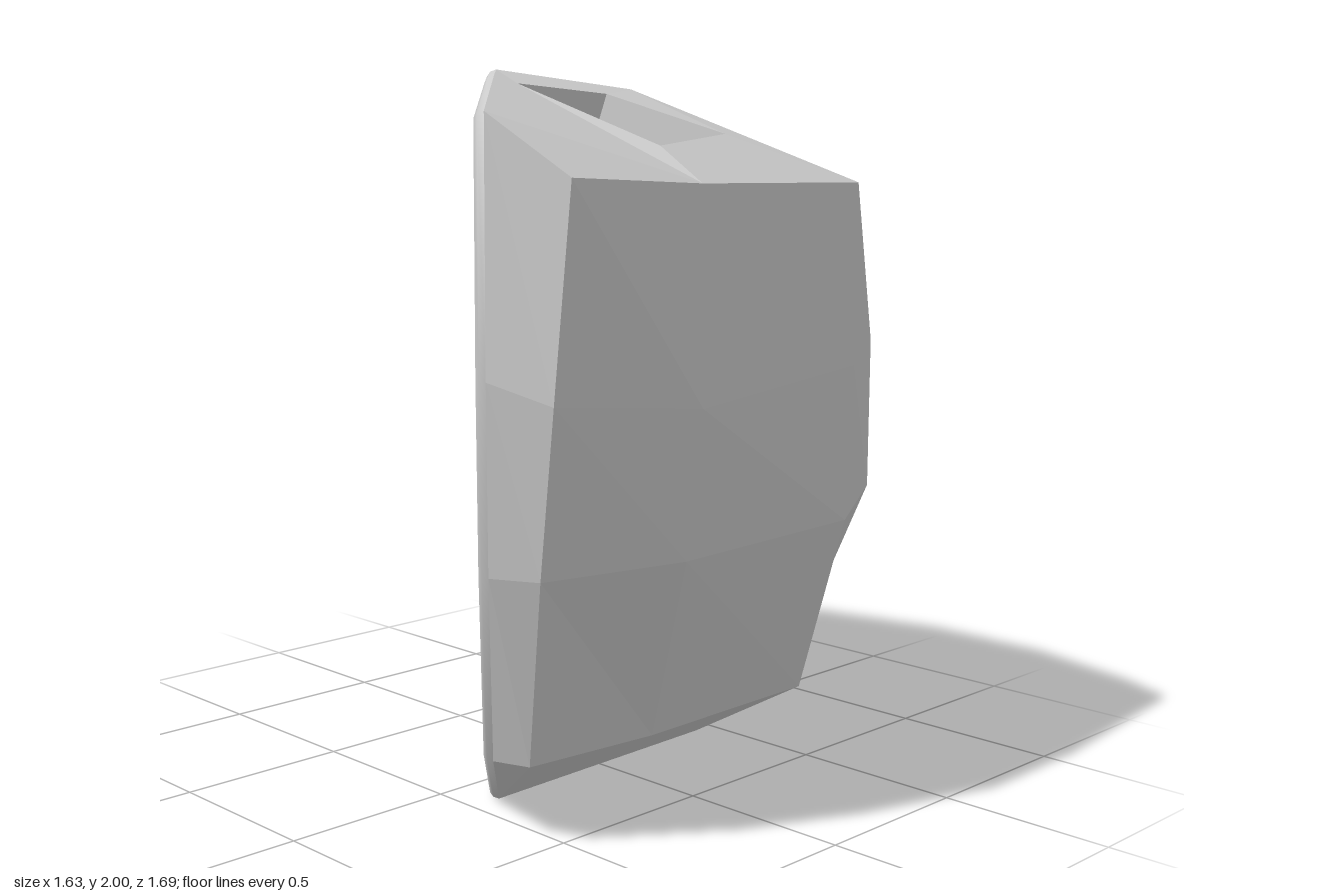
import * as THREE from 'three';

const V = (x, y, z) => new THREE.Vector3(x, y, z);
// the opening lies in one slanted plane
const planeZ = (x) => 0.27 + 0.964 * x;
const R = (x, y) => V(x, y, planeZ(x));
const openingNormal = V(-0.694, 0, 0.72);

// floor corners, and crown corners beside the opening
const floorRimL = R(-0.28, 0.01), floorRimR = R(0.14, 0.0);
const floorL = V(-0.28, 0.01, -0.41), floorR = V(0.14, 0.01, -0.41);
const crownL = V(-0.19, 1.96, -0.25), crownR = V(0, 1.96, -0.25);

// horizontal sections, each from the -x rim round the back to the +x rim
const rows = [
  [floorRimL, floorL, floorL, floorR, floorR, floorR, floorRimR, floorRimR, floorRimR],
  [R(-0.69, 0.24), V(-0.56, 0.35, -0.57), V(-0.28, 0.35, -0.64), V(0.14, 0.35, -0.64), V(0.42, 0.35, -0.57),
    V(0.54, 0.24, -0.41), V(0.53, 0.23, 0.2), V(0.49, 0.23, 0.61), R(0.39, 0.23)],
  [R(-0.82, 0.8), V(-0.73, 0.81, -0.66), V(-0.28, 0.81, -0.85), V(0.14, 0.81, -0.85), V(0.58, 0.81, -0.66),
    V(0.7, 0.76, -0.4), V(0.74, 0.76, 0.3), V(0.65, 0.76, 0.72), R(0.53, 0.76)],
  [R(-0.82, 1.2), V(-0.73, 1.24, -0.66), V(-0.28, 1.24, -0.85), V(0.14, 1.24, -0.85), V(0.58, 1.24, -0.66),
    V(0.72, 1.2, -0.4), V(0.81, 1.16, 0.32), V(0.74, 1.2, 0.76), R(0.58, 1.25)],
  [R(-0.8, 1.6), V(-0.72, 1.53, -0.62), V(-0.29, 1.61, -0.66), V(0.14, 1.61, -0.66), V(0.57, 1.53, -0.62),
    V(0.72, 1.7, -0.4), V(0.8, 1.71, 0.32), V(0.8, 1.73, 0.76), R(0.58, 1.88)],
];
const topRim = [R(-0.62, 1.79), R(-0.2, 1.975), R(-0.1, 2), R(0.07, 2), R(0.17, 1.98)];
const pocketTop = [V(0.15, 1.94, 0), V(0.5, 1.83, -0.1), V(0.62, 1.8, 0.28), V(0.2, 1.96, 0.38)];
const pocketDrop = V(-0.05, -0.17, 0.02);

// closed loop round the opening
const rimLoop = [
  ...rows.map((r) => r[0]), ...topRim, ...rows.slice(1).reverse().map((r) => r[8]), floorRimR,
];

// matching point on the inside of the wall
function inner(p) {
  if (rimLoop.includes(p)) {
    const x = -0.05 + (p.x + 0.1) * 0.89;
    return V(x, 1 + (p.y - 1) * 0.92, planeZ(x) - 0.03);
  }
  if (pocketTop.includes(p)) return p.clone().addScaledVector(pocketDrop, 0.4);
  return V(-0.07 + (p.x + 0.07) * 0.92, 1 + (p.y - 1) * 0.93, p.z * 0.92);
}

// triangles of the outer skin
function shellTriangles() {
  const tris = [];
  const add = (a, b, c) => { if (a !== b && b !== c && a !== c) tris.push([a, b, c]); };
  const facing = (sign, a, b, c) => {
    const ny = b.clone().sub(a).cross(c.clone().sub(a)).y;
    if (ny * sign >= 0) add(a, b, c); else add(a, c, b);
  };
  // side walls
  for (let r = 0; r < rows.length - 1; r++) {
    for (let c = 0; c < 8; c++) {
      const a = rows[r][c], b = rows[r + 1][c], d = rows[r + 1][c + 1], e = rows[r][c + 1];
      add(a, b, d);
      add(a, d, e);
    }
  }
  // floor
  facing(-1, floorRimL, floorL, floorR);
  facing(-1, floorRimL, floorR, floorRimR);
  // crown
  const t = rows[4], [r0, r1, r2, r3, r4] = topRim, [h0, h1, h2, h3] = pocketTop;
  [
    [t[0], t[1], crownL], [t[1], t[2], crownL], [t[0], crownL, r0], [r0, crownL, r1], [r1, crownL, r2],
    [crownL, crownR, r2], [crownR, r2, r3], [t[2], t[3], crownL], [t[3], crownL, crownR],
    [t[3], t[4], crownR], [t[4], t[5], crownR],
    // panel around the pocket
    [crownR, t[5], h1], [crownR, h1, h0], [t[5], t[6], h2], [t[5], h2, h1], [t[6], h3, h2],
    [t[6], t[7], t[8]], [t[6], t[8], h3], [h3, t[8], r4], [h3, r4, r3], [h3, r3, h0], [h0, r3, crownR],
  ].forEach((f) => facing(1, ...f));
  return tris;
}

function facetMesh(name, tris, side = THREE.FrontSide) {
  const geo = new THREE.BufferGeometry().setFromPoints(tris.flat());
  geo.computeVertexNormals();
  const mesh = new THREE.Mesh(geo, new THREE.MeshStandardMaterial({ color: 0xcccccc, flatShading: true, side }));
  mesh.name = name;
  return mesh;
}

// rounded lip joining the outer and inner skins
function rimMesh() {
  const steps = 6, n = rimLoop.length, pts = [], index = [];
  rimLoop.forEach((o) => {
    const i = inner(o);
    for (let k = 0; k <= steps; k++) {
      const a = (k / steps) * Math.PI;
      pts.push(o.clone().lerp(i, (1 - Math.cos(a)) / 2).addScaledVector(openingNormal, 0.035 * Math.sin(a)));
    }
  });
  for (let j = 0; j < n; j++) {
    for (let k = 0; k < steps; k++) {
      const a = j * (steps + 1) + k, b = ((j + 1) % n) * (steps + 1) + k;
      index.push(a, a + 1, b, b, a + 1, b + 1);
    }
  }
  // the loop runs clockwise as seen from the opening
  const geo = new THREE.BufferGeometry().setFromPoints(pts.map((p) => p.setY(THREE.MathUtils.clamp(p.y, 0, 2))));
  geo.setIndex(index.map((_, i) => index[i - (i % 3) + [0, 2, 1][i % 3]]));
  geo.computeVertexNormals();
  // turn the faces outwards if they look into the shell
  const nrm = geo.attributes.normal, mid = V(0, 0, 0).fromBufferAttribute(nrm, steps / 2);
  if (mid.dot(openingNormal) < 0) {
    geo.setIndex(index);
    geo.computeVertexNormals();
  }
  const mesh = new THREE.Mesh(geo, new THREE.MeshStandardMaterial({ color: 0xcccccc }));
  mesh.name = 'openingRim';
  return mesh;
}

// shallow closed recess in the crown
function pocketMesh() {
  const low = pocketTop.map((p) => p.clone().add(pocketDrop));
  const tris = [[low[0], low[2], low[1]], [low[0], low[3], low[2]]];
  for (let i = 0; i < 4; i++) {
    const j = (i + 1) % 4;
    tris.push([pocketTop[i], low[i], low[j]], [pocketTop[i], low[j], pocketTop[j]]);
  }
  return facetMesh('crownPocket', tris, THREE.DoubleSide);
}

export function createModel() {
  const model = new THREE.Group();
  model.name = 'cutShell';
  const outer = shellTriangles();
  model.add(facetMesh('outerShell', outer));
  model.add(facetMesh('innerShell', outer.map(([a, b, c]) => [inner(a), inner(c), inner(b)])));
  model.add(rimMesh(), pocketMesh());
  return model;
}
